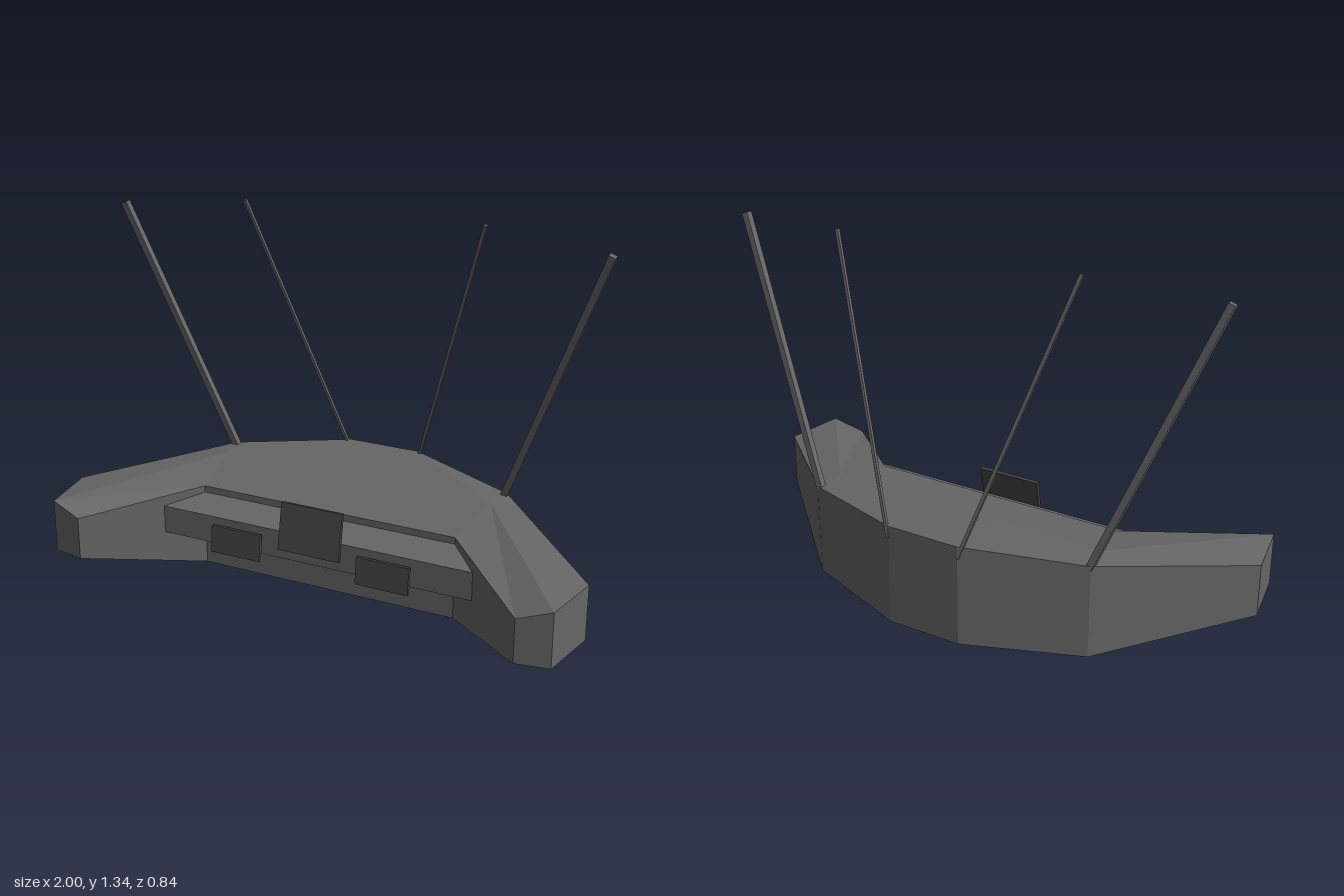
import * as THREE from 'three';

const flat = (color) => new THREE.MeshStandardMaterial({ color, flatShading: true });

// Skins a row of matching cross-sections, ordered from -x to +x, and caps both ends.
function loft(sections) {
  const n = sections[0].length;
  const pos = [];
  const quad = (a, b, c, d) => [a, b, c, a, c, d].forEach((p) => pos.push(...p));
  for (let s = 0; s < sections.length - 1; s++) {
    const a = sections[s], b = sections[s + 1];
    for (let k = 0; k < n; k++) {
      const m = (k + 1) % n;
      quad(a[k], a[m], b[m], b[k]);
    }
  }
  const first = sections[0], last = sections[sections.length - 1];
  for (let i = 0; i < n / 2 - 1; i++) {
    const [p, q, r, t] = [(n - i) % n, 1 + i, 2 + i, n - 1 - i];
    quad(last[p], last[q], last[r], last[t]);
    quad(first[t], first[r], first[q], first[p]);
  }
  const geo = new THREE.BufferGeometry();
  geo.setAttribute('position', new THREE.Float32BufferAttribute(pos, 3));
  geo.computeVertexNormals();
  return geo;
}

// Adds the mirrored sections of the -x half.
function mirrored(half) {
  const flip = half.map((ring) => ring.map(([x, y, z]) => [-x, y, z]));
  return [...flip.reverse(), ...half];
}

// Square rod between two points.
function rod(from, to, width) {
  const a = new THREE.Vector3(...from), b = new THREE.Vector3(...to);
  const mesh = new THREE.Mesh(new THREE.BoxGeometry(width, a.distanceTo(b), width));
  mesh.position.copy(a).add(b).multiplyScalar(0.5);
  mesh.quaternion.setFromUnitVectors(new THREE.Vector3(0, 1, 0), b.sub(a).normalize());
  return mesh;
}

export function createModel() {
  const model = new THREE.Group();
  const shell = flat(0x666666);
  const dark = flat(0x444444);

  const add = (name, mesh, material) => {
    mesh.name = name;
    mesh.material = material;
    model.add(mesh);
    return mesh;
  };

  // Curved console: back bottom, back top, ridge top, front top, front bottom, ridge bottom
  const consoleHalf = [
    [[0.14, 0, -0.41], [0.14, 0.385, -0.41], [0.14, 0.355, -0.14],
      [0.14, 0.31, 0.09], [0.14, 0, 0.09], [0.14, 0, -0.14]],
    [[0.56, 0, -0.25], [0.56, 0.355, -0.25], [0.54, 0.355, -0.14],
      [0.5, 0.31, 0.09], [0.5, 0, 0.09], [0.54, 0, -0.14]],
    [[1, 0.08, 0.17], [1, 0.28, 0.17], [0.96, 0.28, 0.4],
      [0.84, 0.24, 0.42], [0.84, 0.08, 0.42], [0.96, 0.08, 0.4]],
  ];
  add('consoleBody', new THREE.Mesh(loft(mirrored(consoleHalf))), shell);

  // Sloped desk ledge between the wings
  const ledgeHalf = [
    [[0.5, 0.145, 0.09], [0.5, 0.285, 0.09], [0.61, 0.25, 0.2], [0.61, 0.145, 0.2]],
  ];
  add('deskLedge', new THREE.Mesh(loft(mirrored(ledgeHalf))), shell);

  // Thin screens leaning back
  const screen = (name, w, h, x, y, z, tilt) => {
    const mesh = add(name, new THREE.Mesh(new THREE.BoxGeometry(w, h, 0.014)), dark);
    mesh.position.set(x, y, z);
    mesh.rotation.x = -tilt;
  };
  screen('centreScreen', 0.24, 0.175, 0, 0.273, 0.201, 0.19);

  for (const [side, s] of [['left', 1], ['right', -1]]) {
    screen(side + 'Screen', 0.2, 0.1, s * 0.29, 0.177, 0.224, 0.1);
    // Aerials fanning out from the back edge
    add(side + 'OuterAerial', rod([s * 0.55, 0.34, -0.24], [s * 0.93, 1.3, -0.105], 0.025), shell);
    add(side + 'InnerAerial', rod([s * 0.14, 0.34, -0.41], [s * 0.465, 1.335, -0.19], 0.012), shell);
  }
  return model;
}
